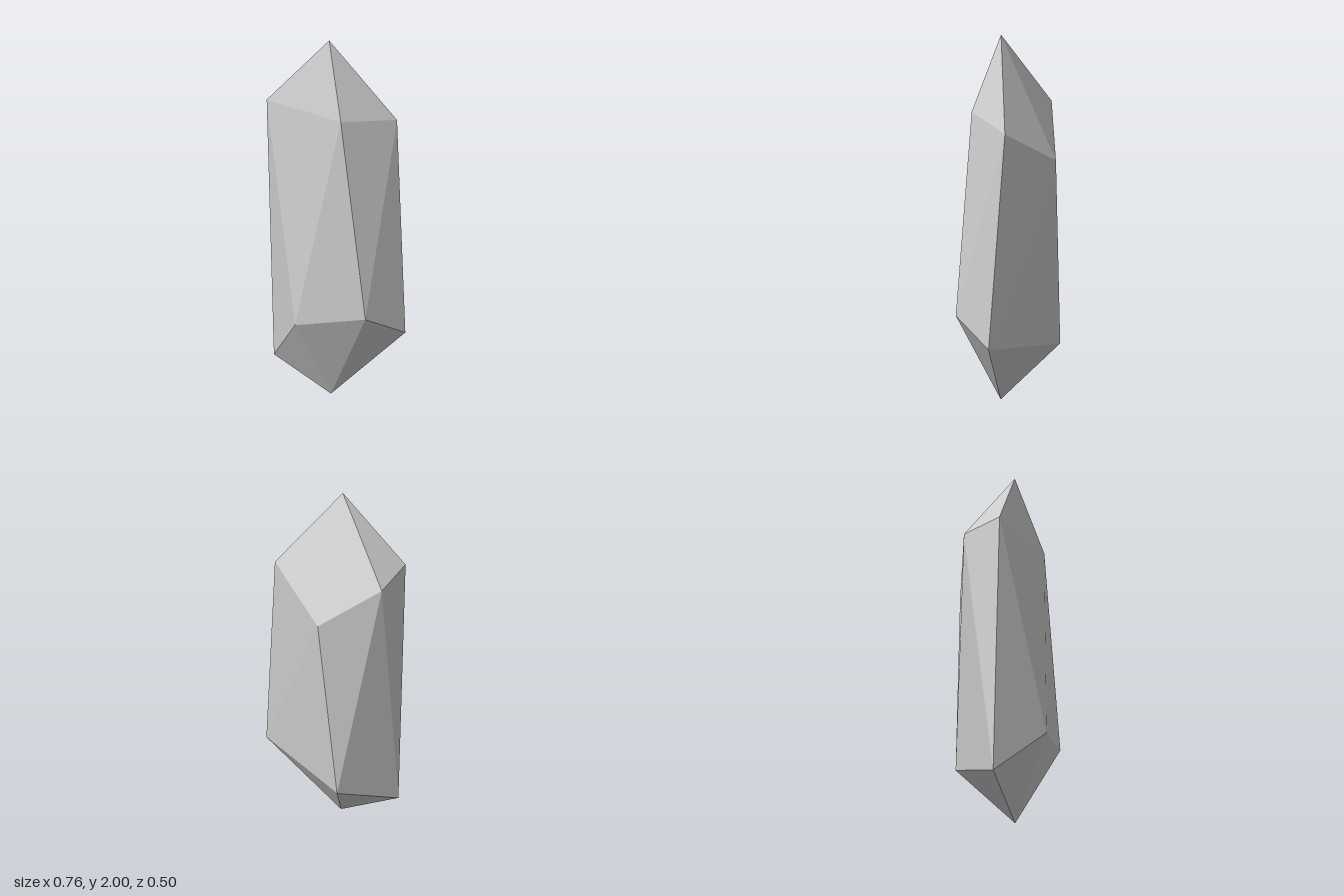
import * as THREE from 'three';

export function createModel() {
  // Five-sided crystal: two tips and two irregular rings, counterclockwise from above
  const topTip = [-0.035, 2, 0.055];
  const bottomTip = [-0.025, 0, 0.055];
  const upper = [
    [-0.383, 1.62, 0.04], [0.07, 1.6, 0.193], [0.313, 1.557, -0.03],
    [0.017, 1.34, -0.249], [-0.311, 1.57, -0.165],
  ];
  const lower = [
    [-0.165, 0.445, 0.25], [0.222, 0.52, 0.25], [0.381, 0.388, 0.045],
    [-0.09, 0.305, -0.252], [-0.355, 0.165, 0],
  ];

  // Facets of the upper point, the shaft and the lower point
  const corners = [];
  for (let i = 0; i < 5; i++) {
    const j = (i + 1) % 5;
    corners.push(topTip, upper[i], upper[j]);
    corners.push(upper[i], lower[i], upper[j]);
    corners.push(upper[j], lower[i], lower[j]);
    corners.push(lower[i], bottomTip, lower[j]);
  }

  const geometry = new THREE.BufferGeometry();
  geometry.setAttribute('position', new THREE.Float32BufferAttribute(corners.flat(), 3));
  geometry.computeVertexNormals();

  const material = new THREE.MeshStandardMaterial({ color: 0xcccccc, flatShading: true });
  const crystal = new THREE.Mesh(geometry, material);
  crystal.name = 'crystal';

  const group = new THREE.Group();
  group.name = 'crystalShard';
  group.add(crystal);
  return group;
}
